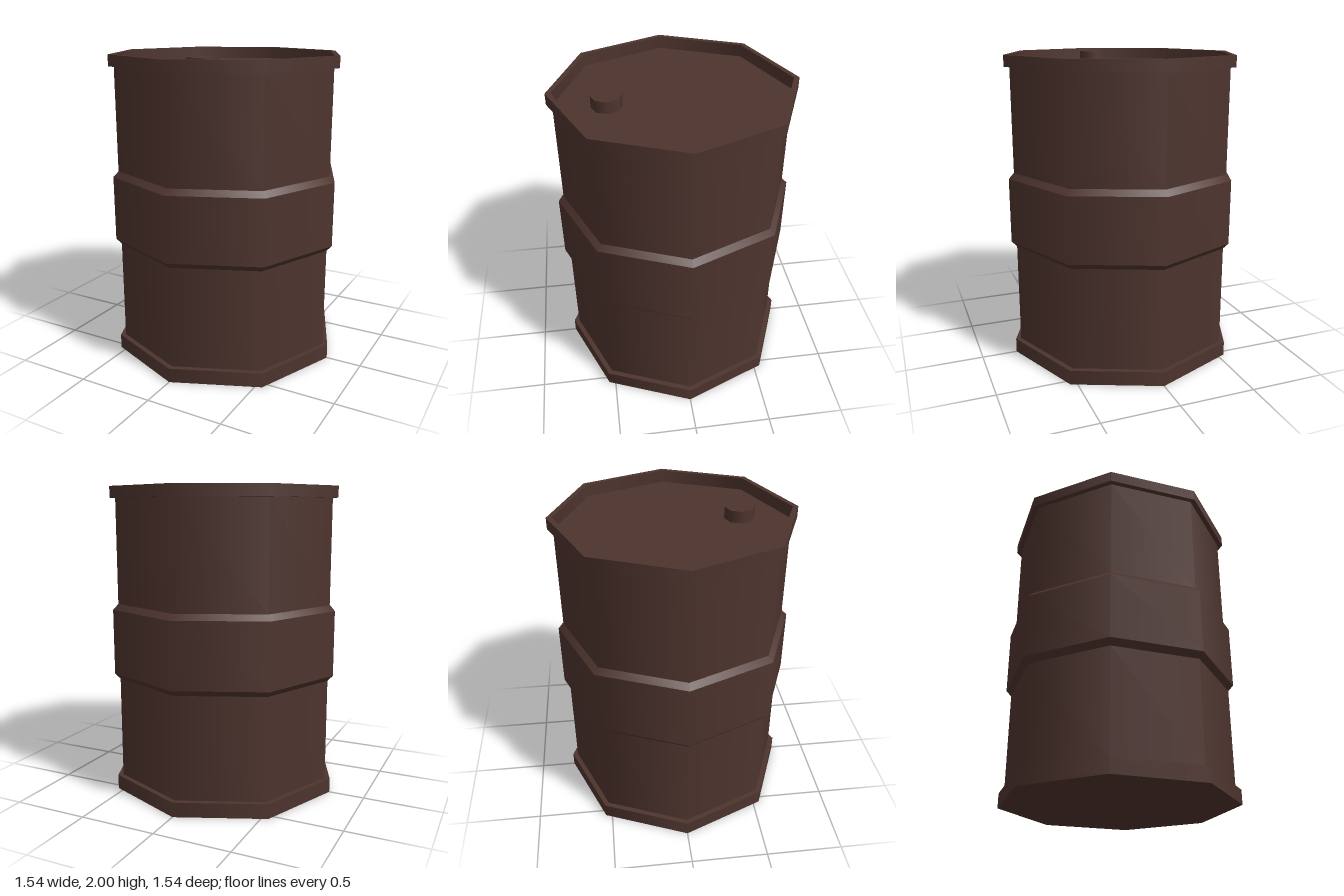
import * as THREE from 'three';
import { mergeGeometries } from 'three/addons/utils/BufferGeometryUtils.js';

const SIDES = 8;
const BODY = 0.733, WIDE = 0.768, LID = 1.92;

// Revolves each profile step separately: smooth around the drum, sharp between steps
function turned(name, profile, material) {
  const steps = [];
  for (let i = 0; i < profile.length - 1; i++) {
    const pair = [profile[i], profile[i + 1]].map(([r, y]) => new THREE.Vector2(r, y));
    steps.push(new THREE.LatheGeometry(pair, SIDES));
  }
  const mesh = new THREE.Mesh(mergeGeometries(steps), material);
  mesh.name = name;
  return mesh;
}

export function createModel() {
  const group = new THREE.Group();
  group.name = 'barrel';
  const brown = new THREE.MeshStandardMaterial({ color: 0x4e342e });
  brown.name = 'dark brown';

  // Profiles run [radius, height] from the bottom up
  group.add(turned('bottomRim', [[0, 0], [WIDE, 0], [WIDE, 0.095], [BODY, 0.095]], brown));
  group.add(turned('lowerWall', [[BODY, 0.095], [BODY, 0.762]], brown));
  group.add(turned('middleBand',
    [[BODY, 0.762], [WIDE, 0.8], [WIDE, 1.222], [BODY, 1.258]], brown));
  group.add(turned('upperWall', [[BODY, 1.258], [BODY, 1.928]], brown));

  // Rim rises around the sunken lid
  group.add(turned('topRim',
    [[BODY, 1.928], [WIDE, 1.928], [WIDE, 2], [BODY, 2], [BODY, LID]], brown));
  group.add(turned('lid', [[BODY, LID], [0, LID]], brown));

  // Filler cap near the front of the lid
  const cap = turned('fillerCap', [[0.095, 0], [0.095, 0.075], [0, 0.075]], brown);
  cap.position.set(0.055, LID, 0.413);
  group.add(cap);

  return group;
}
